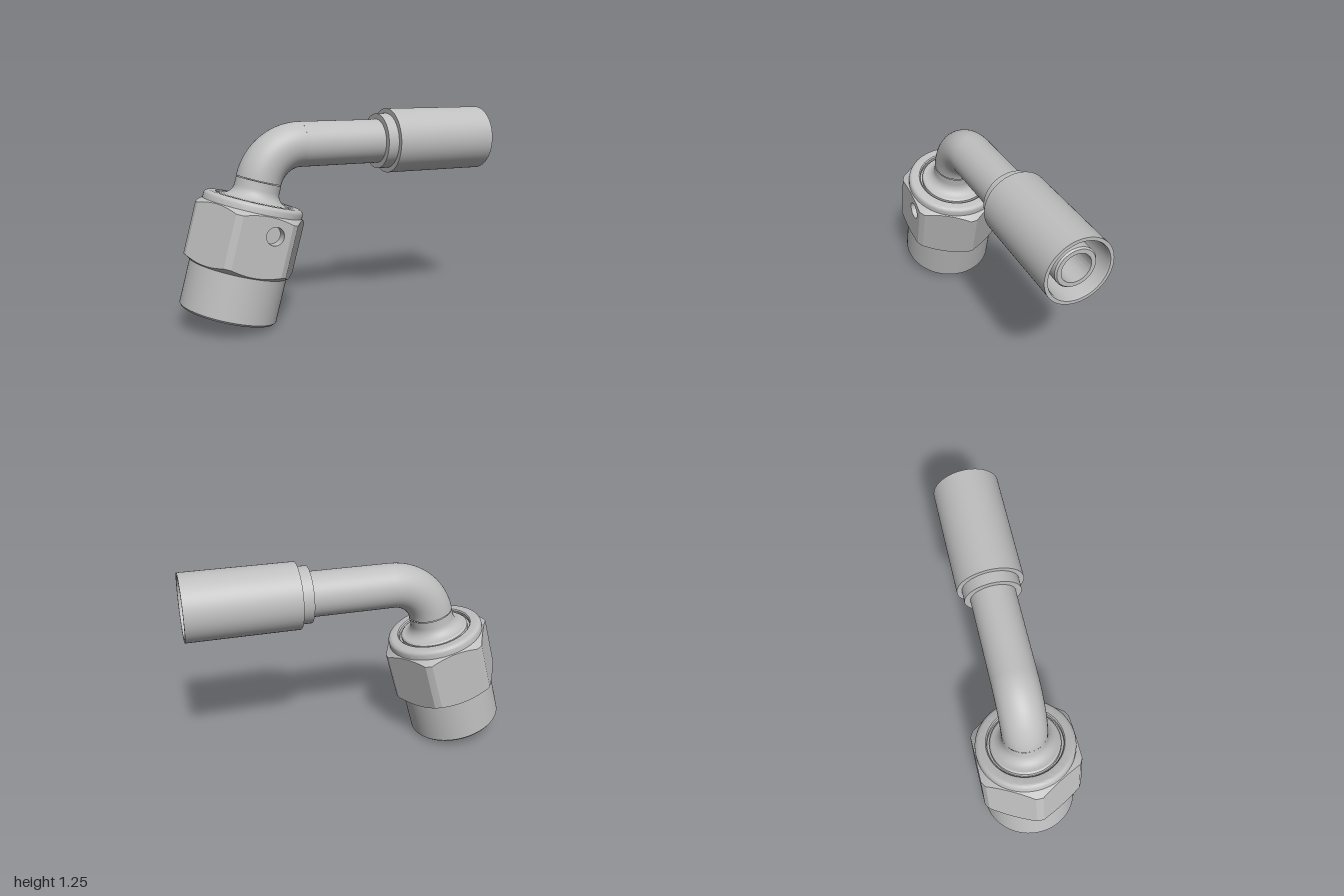
import * as THREE from 'three';
import { toCreasedNormals } from 'three/addons/utils/BufferGeometryUtils.js';

const steel = new THREE.MeshStandardMaterial({ color: 0xbfbfbf, side: THREE.DoubleSide });
steel.name = 'steel';

const TILT = Math.PI / 12;      // lean of the nut axis
const PIPE_Y = 1.055;           // height of the horizontal pipe axis
const BEND_X = -0.252, BEND_R = 0.27;
const PIPE_R = 0.135, BORE_R = 0.087;

function add(parent, name, geometry) {
  const mesh = new THREE.Mesh(geometry, steel);
  mesh.name = name;
  parent.add(mesh);
  return mesh;
}

// Revolve [radius, height] pairs, keeping sharp edges
function revolve(parent, name, profile) {
  const pts = profile.map(([r, y]) => new THREE.Vector2(r, y));
  return add(parent, name, toCreasedNormals(new THREE.LatheGeometry(pts, 72), 0.4));
}

// Hexagon with turned corners and chamfered ends; the front flat has a drilled hole
function addHexagon(parent) {
  const flat = 0.303, corner = 0.338, slope = 0.63;
  const half = Math.acos(flat / corner);
  const bottom = r => 0.283 + (r - flat) * slope;
  const top = r => 0.635 - (r - flat) * slope;
  const FLAT_STEPS = 12, ARC_STEPS = 3;

  // Columns around the axis, starting with the front flat
  const cols = [];
  for (let f = 0; f < 6; f++) {
    const mid = f * Math.PI / 3;
    for (let i = 0; i < FLAT_STEPS; i++) {
      const a = -half + 2 * half * i / FLAT_STEPS;
      cols.push({ a: mid + a, r: flat / Math.cos(a) });
    }
    for (let i = 0; i < ARC_STEPS; i++) {
      cols.push({ a: mid + half + (Math.PI / 3 - 2 * half) * i / ARC_STEPS, r: corner });
    }
  }
  const rings = [
    () => [0.288, bottom(0.288)],
    r => [r, bottom(r)],
    r => [r, top(r)],
    () => [0.288, top(0.288)],
  ];
  const pos = [], index = [], n = cols.length;
  rings.forEach(ring => cols.forEach(({ a, r }) => {
    const [rr, y] = ring(r);
    pos.push(rr * Math.sin(a), y, rr * Math.cos(a));
  }));
  for (let j = 0; j < 3; j++) {
    for (let i = 0; i < n; i++) {
      if (j === 1 && i < FLAT_STEPS) continue;
      const k = (i + 1) % n;
      const a = j * n + i, b = j * n + k, c = b + n, d = a + n;
      index.push(a, b, c, a, c, d);
    }
  }
  const geo = new THREE.BufferGeometry();
  geo.setAttribute('position', new THREE.Float32BufferAttribute(pos, 3));
  geo.setIndex(index);
  add(parent, 'hexagon', toCreasedNormals(geo, 0.35));

  // Front flat with the hole
  const edge = cols.slice(0, FLAT_STEPS + 1).map(({ a, r }) => [r * Math.sin(a), r]);
  const outline = [
    ...edge.map(([x, r]) => new THREE.Vector2(x, bottom(r))),
    ...edge.reverse().map(([x, r]) => new THREE.Vector2(x, top(r))),
  ];
  const hx = 0.059, hy = 0.533, hr = 0.053, depth = 0.065;
  const shape = new THREE.Shape(outline);
  shape.holes.push(new THREE.Path().absarc(hx, hy, hr, 0, Math.PI * 2, true));
  add(parent, 'frontFlat', new THREE.ShapeGeometry(shape, 24)).position.z = flat;

  const wall = add(parent, 'holeWall', new THREE.CylinderGeometry(hr, hr, depth, 48, 1, true));
  wall.rotation.x = Math.PI / 2;
  wall.position.set(hx, hy, flat - depth / 2);
  add(parent, 'holeFloor', new THREE.CircleGeometry(hr, 48)).position.set(hx, hy, flat - depth);
}

export function createModel() {
  const model = new THREE.Group();
  model.name = 'elbowFitting';

  // Swivel nut, built upright and then tilted
  const nut = new THREE.Group();
  nut.name = 'swivelNut';
  nut.position.set(-0.72, 0.076, 0);
  nut.rotation.z = -TILT;
  model.add(nut);

  revolve(nut, 'nutBody', [
    [0.225, 0.66], [0.225, 0.04], [0.262, 0], [0.28, 0], [0.29, 0.012], [0.29, 0.276],
  ]);
  addHexagon(nut);

  // Collar with a rounded top edge
  const collar = [[0.288, 0.625], [0.297, 0.63], [0.297, 0.662]];
  for (let i = 1; i <= 6; i++) {
    const a = i / 6 * Math.PI / 2;
    collar.push([0.269 + 0.028 * Math.cos(a), 0.662 + 0.028 * Math.sin(a)]);
  }
  collar.push([0.232, 0.69], [0.225, 0.683], [0.225, 0.66], [0.2, 0.66]);
  revolve(nut, 'nutCollar', collar);

  // Flared stem held inside the nut
  const stem = [
    [BORE_R, 0.802], [BORE_R, 0.38], [0.16, 0.38], [0.225, 0.46], [0.225, 0.655],
    [0.21, 0.66], [0.21, 0.682],
  ];
  for (let i = 0; i <= 8; i++) {
    const a = i / 8 * Math.PI / 2;
    stem.push([0.2 - 0.065 * Math.sin(a), 0.755 - 0.065 * Math.cos(a)]);
  }
  stem.push([PIPE_R, 0.802]);
  revolve(nut, 'flaredStem', stem);

  // Pipe bend, outside and bore
  for (const [name, r] of [['pipeBend', PIPE_R], ['bendBore', BORE_R]]) {
    const bend = add(model, name,
      new THREE.TorusGeometry(BEND_R, r, 48, 40, Math.PI / 2 - TILT));
    bend.rotation.z = Math.PI / 2;
    bend.position.set(BEND_X, PIPE_Y - BEND_R, 0);
  }

  // Hose end, revolved about the horizontal axis
  const hoseEnd = new THREE.Group();
  hoseEnd.name = 'hoseEnd';
  hoseEnd.position.y = PIPE_Y;
  hoseEnd.rotation.z = -Math.PI / 2;
  model.add(hoseEnd);

  revolve(hoseEnd, 'straightPipe', [[PIPE_R, BEND_X], [PIPE_R, 0.27]]);
  revolve(hoseEnd, 'ferrule', [
    [0.13, 0.263], [0.17, 0.263], [0.17, 0.332], [0.2, 0.332],
    [0.2, 1], [0.18, 1], [0.175, 0.985], [0.175, 0.45], [0.12, 0.45],
  ]);
  revolve(hoseEnd, 'hoseNipple', [
    [0.12, 0.45], [0.12, 0.96], [0.112, 0.97], [BORE_R, 0.97], [BORE_R, BEND_X],
  ]);

  return model;
}
